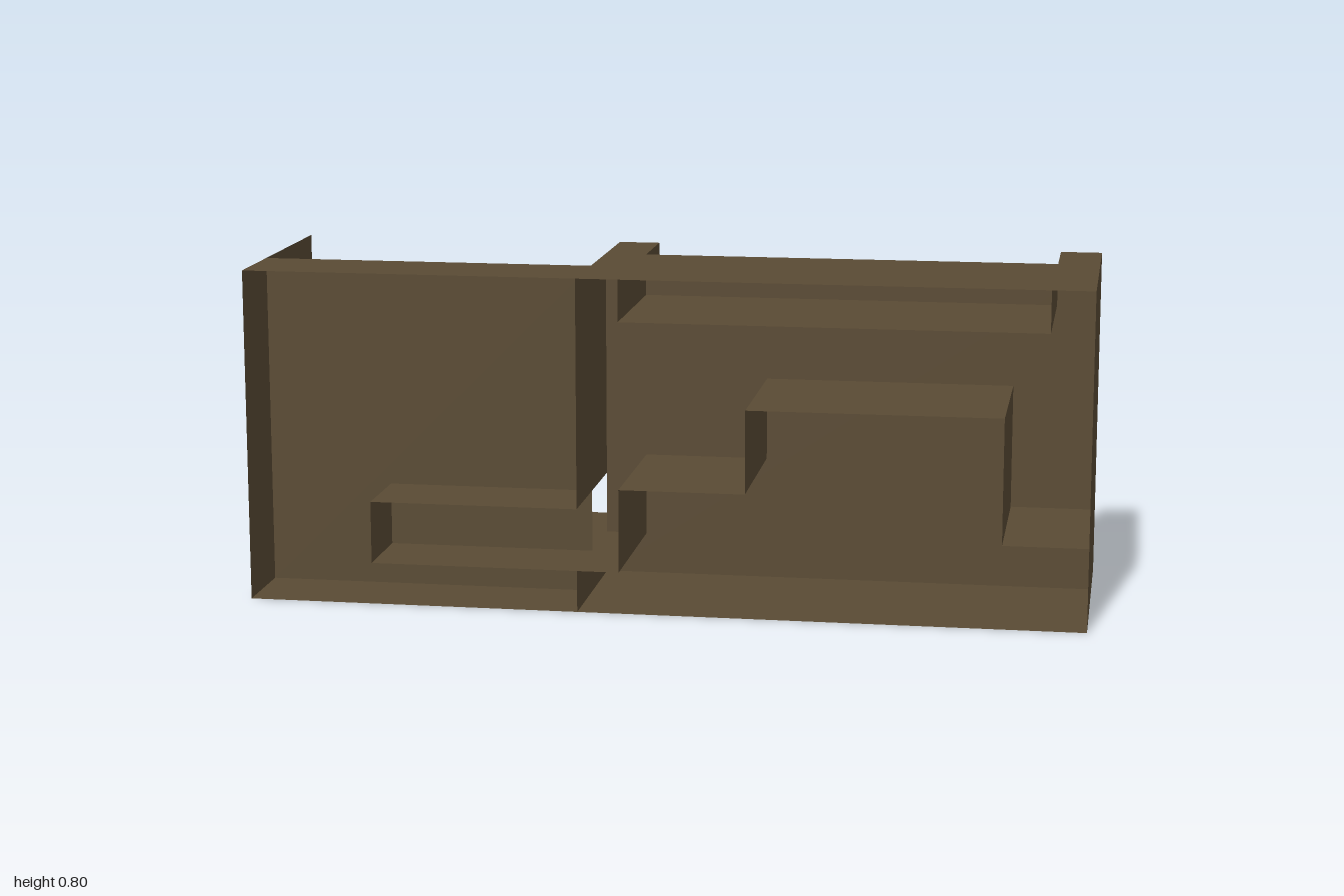
import * as THREE from 'three';

const BACK = -0.3, FRONT = 0.3;      // full depth
const DEEP = -0.1, SHALLOW = 0.1;    // the two back panels
const TOP = 0.8, SPLIT = -0.2;       // height and divider position

export function createModel() {
  const group = new THREE.Group();
  const brown = new THREE.MeshStandardMaterial({ color: 0x5a4b34, side: THREE.DoubleSide });
  brown.name = 'brown';

  function add(name, geometry) {
    const mesh = new THREE.Mesh(geometry, brown);
    mesh.name = name;
    group.add(mesh);
    return mesh;
  }

  // Thin sheet: an (x, y) line swept in depth from z0 to z1
  function sheet(name, points, z0 = BACK, z1 = FRONT) {
    const positions = [];
    for (let i = 0; i < points.length - 1; i++) {
      const [ax, ay] = points[i], [bx, by] = points[i + 1];
      positions.push(ax, ay, z0, bx, by, z0, bx, by, z1);
      positions.push(ax, ay, z0, bx, by, z1, ax, ay, z1);
    }
    const geometry = new THREE.BufferGeometry();
    geometry.setAttribute('position', new THREE.Float32BufferAttribute(positions, 3));
    geometry.computeVertexNormals();
    return add(name, geometry);
  }

  // Upright panel facing the front
  function panel(name, x0, x1, z) {
    const mesh = add(name, new THREE.PlaneGeometry(x1 - x0, TOP));
    mesh.position.set((x0 + x1) / 2, TOP / 2, z);
  }

  // Level slab outlined in (x, z)
  function slab(name, outline, y) {
    const shape = new THREE.Shape(outline.map(([x, z]) => new THREE.Vector2(x, -z)));
    const mesh = add(name, new THREE.ShapeGeometry(shape));
    mesh.rotation.x = -Math.PI / 2;
    mesh.position.y = y;
  }

  // Outer end walls
  for (const [name, x] of [['rightWall', -1], ['leftWall', 1]]) {
    sheet(name, [[x, 0], [x, TOP]]);
  }

  // Floor and notched roof
  slab('floor', [[-1, FRONT], [1, FRONT], [1, DEEP], [SPLIT, DEEP], [SPLIT, SHALLOW], [-1, SHALLOW]], 0);
  slab('roof', [
    [-1, FRONT], [1, FRONT], [1, BACK], [0.9, BACK], [0.9, DEEP], [-0.1, DEEP],
    [-0.1, BACK], [SPLIT, BACK], [SPLIT, SHALLOW], [-1, SHALLOW],
  ], TOP);

  // Back panels at two depths
  panel('shallowBackPanel', -1, SPLIT, SHALLOW);
  panel('deepBackPanel', SPLIT, 1, DEEP);

  // Divider with a gap where the low tunnel passes through
  sheet('dividerFoot', [[SPLIT, 0], [SPLIT, 0.1]], DEEP, FRONT);
  sheet('divider', [[SPLIT, TOP], [SPLIT, 0.25]]);

  // Low tunnel running into the stepped bench
  sheet('tunnelRoof', [[SPLIT, 0.25], [-0.7, 0.25], [-0.7, 0.1]]);
  sheet('steppedBench', [
    [-0.7, 0.1], [-0.1, 0.1], [-0.1, 0.3], [0.2, 0.3],
    [0.2, 0.5], [0.8, 0.5], [0.8, 0.2], [1, 0.2],
  ]);

  // Tray hung under the roof
  sheet('hangingTray', [[-0.1, TOP], [-0.1, 0.7], [0.9, 0.7], [0.9, TOP]]);

  return group;
}
